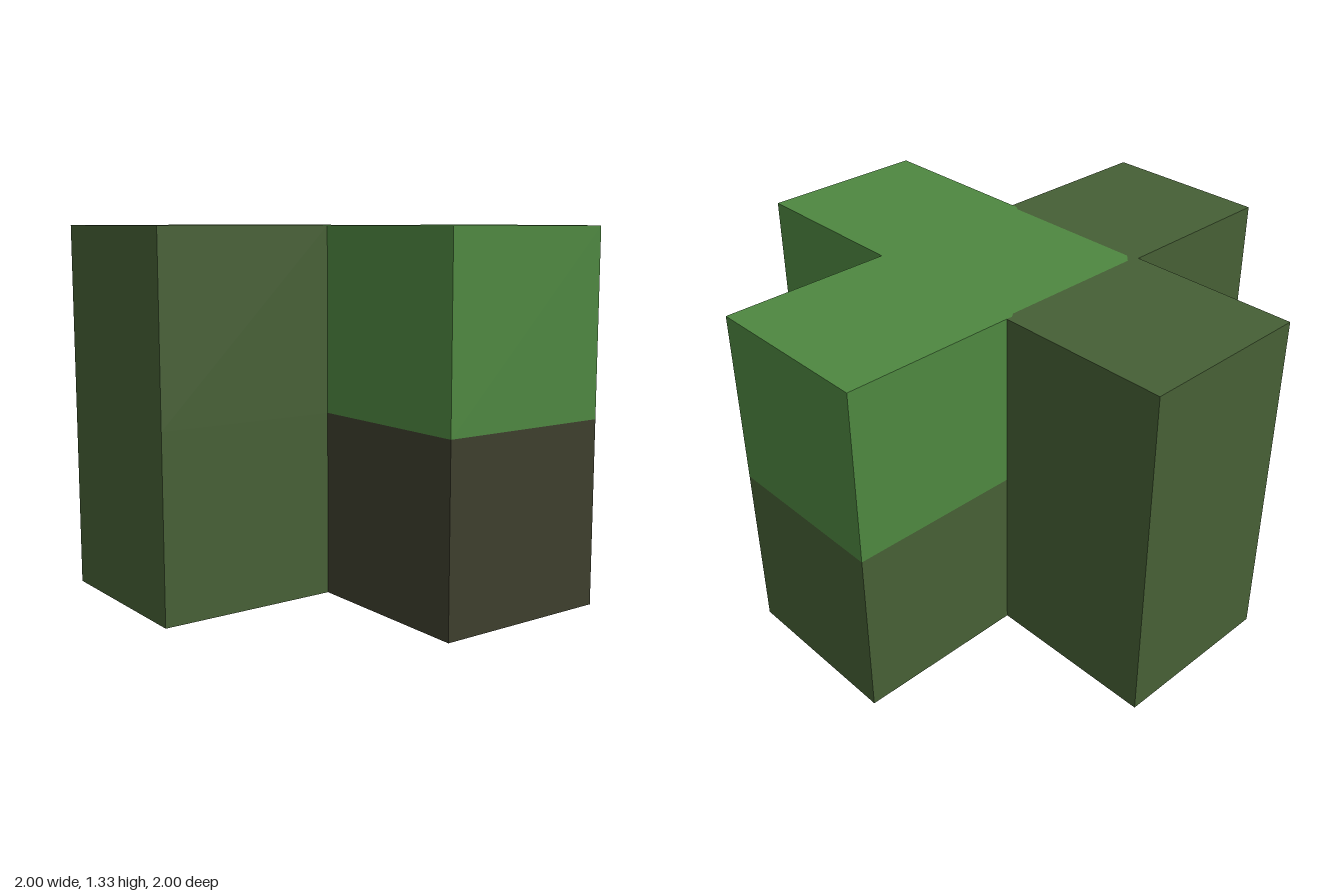
import * as THREE from 'three';

const paint = (name, color) => {
  const m = new THREE.MeshStandardMaterial({ color, side: THREE.DoubleSide });
  m.name = name;
  return m;
};

export function createModel() {
  const leaf = paint('leaf green', 0x4e8740);
  const moss = paint('moss green', 0x465f35);
  const bark = paint('bark brown', 0x3d3e2d);

  const U = 2 / 3, H = U / 2; // arm width and half width
  const model = new THREE.Group();
  model.name = 'hollowCross';

  // One arm of the cross: an end wall and two side walls, in a lower and an upper tier
  function arm(name, angle, lower, upper) {
    const group = new THREE.Group();
    group.name = name;
    const walls = [
      ['EndWall', 0, 1, 0],
      ['LeftWall', H, U, Math.PI / 2],
      ['RightWall', -H, U, -Math.PI / 2],
    ];
    [lower, upper].forEach((material, tier) => {
      for (const [part, x, z, turn] of walls) {
        const wall = new THREE.Mesh(new THREE.PlaneGeometry(U, U), material);
        wall.name = (tier ? 'upper' : 'lower') + part;
        wall.position.set(x, H + tier * U, z);
        wall.rotation.y = turn;
        group.add(wall);
      }
    });
    group.rotation.y = angle;
    model.add(group);
  }
  arm('frontArm', 0, bark, leaf);
  arm('leftArm', Math.PI / 2, moss, leaf);
  arm('backArm', Math.PI, moss, moss);
  arm('rightArm', -Math.PI / 2, moss, moss);

  // Flat top, two colours meeting along a slightly inset seam; points are [x, z]
  function top(name, points, material) {
    const shape = new THREE.Shape(points.map(([x, z]) => new THREE.Vector2(x, -z)));
    const mesh = new THREE.Mesh(new THREE.ShapeGeometry(shape).rotateX(-Math.PI / 2), material);
    mesh.name = name;
    mesh.position.y = 2 * U;
    model.add(mesh);
  }
  const seam = [
    [-H, H], [-H, 0.31], [-0.32, 0.29], [-0.32, -0.29],
    [-0.29, -0.32], [0.29, -0.32], [0.31, -H], [H, -H],
  ];
  top('leafTop', [...seam, [1, -H], [1, H], [H, H], [H, 1], [-H, 1]], leaf);
  top('mossTop', [...seam, [H, -1], [-H, -1], [-H, -H], [-1, -H], [-1, H]], moss);

  return model;
}
